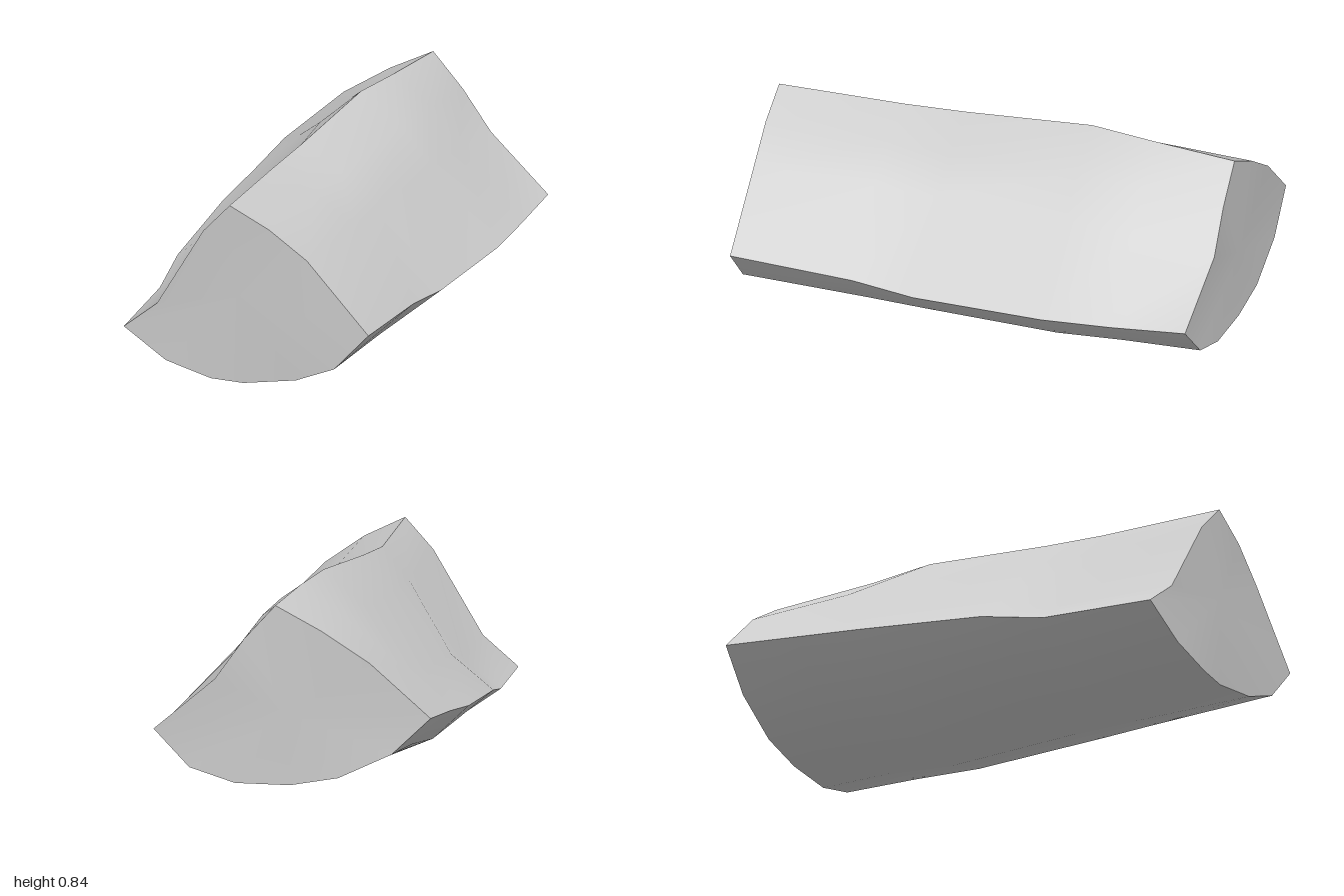
import * as THREE from 'three';

const grey = new THREE.MeshStandardMaterial({ color: 0xcccccc });
grey.name = 'plain grey';

// Cross-sections from front to back, clockwise seen from the front:
// ridge, right split face (2), corner, bark (5), corner, left split face (2)
const sections = [
  { z: 1, p: [[-.03, .765], [.14, .68], [.3, .565], [.57, .28], [.42, .12], [.25, .05], [.02, .01], [-.12, .015], [-.32, .065], [-.51, .18], [-.36, .3], [-.15, .64]] },
  { z: .47, p: [[-.055, .76], [.13, .675], [.3, .565], [.56, .26], [.41, .11], [.22, .045], [.02, .02], [-.13, .025], [-.36, .07], [-.545, .195], [-.39, .31], [-.16, .635]] },
  { z: .2, p: [[-.037, .783], [.14, .68], [.3, .565], [.572, .237], [.41, .105], [.2, .04], [.01, .03], [-.15, .045], [-.4, .11], [-.575, .25], [-.4, .39], [-.17, .645]] },
  { z: -.36, p: [[0, .845], [.18, .715], [.31, .56], [.595, .252], [.41, .1], [.2, .03], [0, .003], [-.2, .055], [-.45, .165], [-.6, .31], [-.42, .45], [-.18, .69]] },
  { z: -.65, p: [[.035, .84], [.19, .71], [.31, .55], [.582, .265], [.41, .12], [.21, .067], [0, .065], [-.2, .1], [-.43, .205], [-.585, .35], [-.39, .52], [-.16, .71]] },
  { z: -1, p: [[.06, .83], [.19, .685], [.31, .515], [.57, .29], [.42, .14], [.23, .085], [0, .088], [-.2, .128], [-.42, .235], [-.58, .39], [-.33, .61], [-.13, .735]] },
];
const N = 12;
// The sawn ends are slightly pulled in at the corners
const frontInset = [0, .005, .015, .01, .01, .02, .025, .02, .03, .05, .035, .015];
const backInset = [.005, .005, 0, .03, .02, .015, .01, .005, .01, .02, .005, 0];

function point(i, j) {
  const { z, p } = sections[i], k = j % N;
  const dz = i === 0 ? -frontInset[k] : i === sections.length - 1 ? backInset[k] : 0;
  return [p[k][0], p[k][1], z + dz];
}

function makeMesh(name, positions, index) {
  const g = new THREE.BufferGeometry();
  g.setAttribute('position', new THREE.Float32BufferAttribute(positions.flat(), 3));
  g.setIndex(index);
  g.computeVertexNormals();
  const mesh = new THREE.Mesh(g, grey);
  mesh.name = name;
  return mesh;
}

// One smooth long face, spanning columns from..to
function longFace(name, from, to) {
  const pos = [], index = [], w = to - from + 1;
  for (let i = 0; i < sections.length; i++)
    for (let j = from; j <= to; j++) pos.push(point(i, j));
  for (let i = 0; i < sections.length - 1; i++)
    for (let j = 0; j < w - 1; j++) {
      const a = i * w + j, b = a + 1, c = a + w, d = c + 1;
      index.push(a, b, c, b, d, c);
    }
  return makeMesh(name, pos, index);
}

// A sawn end as a fan around its middle
function endCap(name, i, isFront) {
  const pos = [], index = [];
  for (let j = 0; j < N; j++) pos.push(point(i, j));
  pos.push([0, .38, isFront ? .985 : -.99]);
  for (let j = 0; j < N; j++) {
    const k = (j + 1) % N;
    index.push(N, ...(isFront ? [k, j] : [j, k]));
  }
  return makeMesh(name, pos, index);
}

export function createModel() {
  const log = new THREE.Group();
  log.name = 'splitLog';
  log.add(
    longFace('rightSplitFace', 0, 3),
    longFace('barkFace', 3, 9),
    longFace('leftSplitFace', 9, 12),
    endCap('frontEnd', 0, true),
    endCap('backEnd', sections.length - 1, false),
  );
  return log;
}
